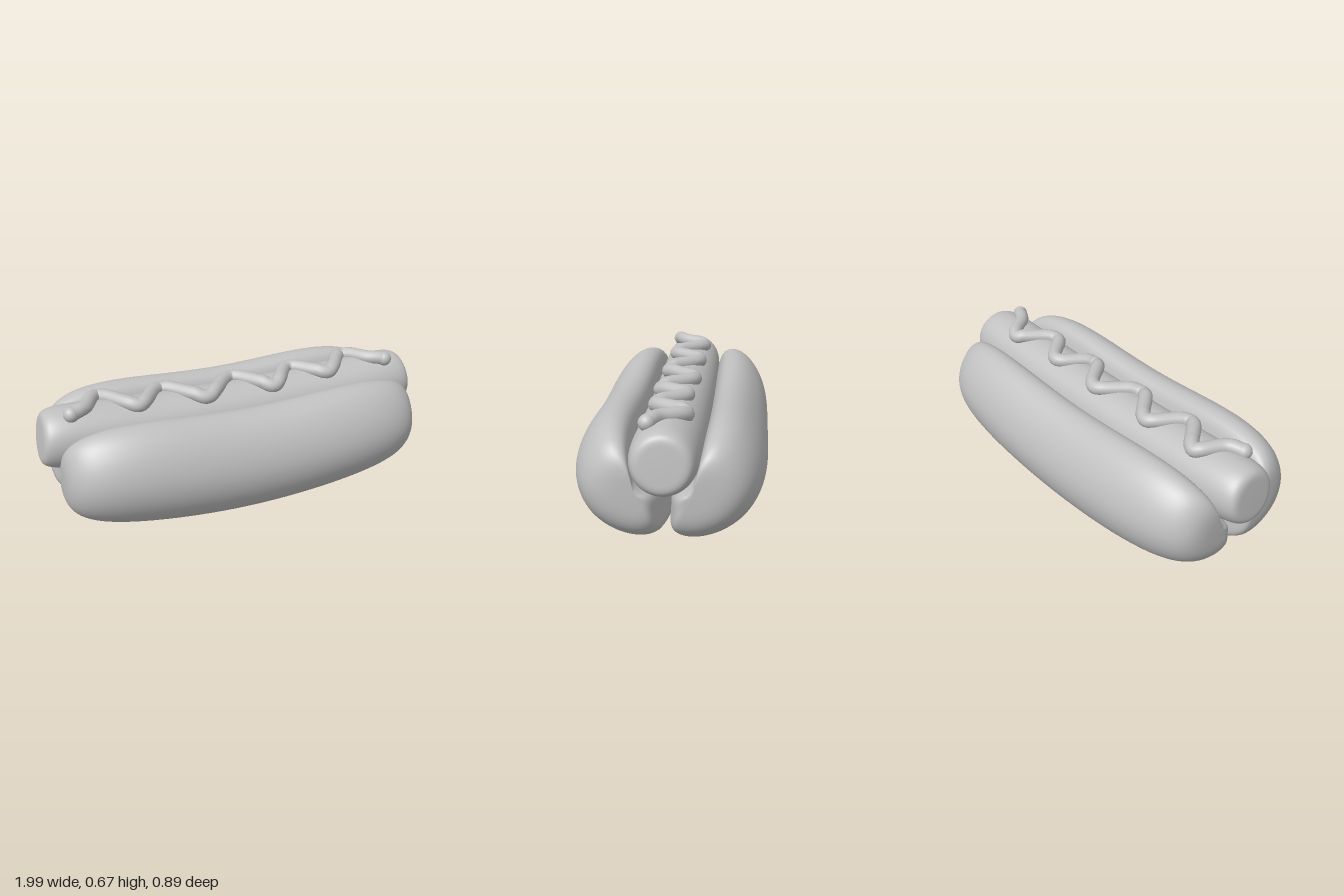
import * as THREE from 'three';

const SAUSAGE_R = 0.158;
const sausageAxis = (x) => 0.455 + 0.042 * x * x;

// Blunt superellipse taper, 1 in the middle and 0 at both ends
const taper = (r, n) => Math.pow(Math.max(0, 1 - Math.pow(Math.abs(r), n)), 1 / n);

// Closed loft along x: point(r, j) gives the vertex of ring r (-1..1) and step j
function loft(rings, steps, point) {
  const pos = [], index = [];
  for (let i = 0; i <= rings; i++) {
    const r = Math.sin((i / rings - 0.5) * Math.PI);
    for (let j = 0; j < steps; j++) pos.push(...point(r, j));
  }
  for (let i = 0; i < rings; i++) {
    for (let j = 0; j < steps; j++) {
      const k = (j + 1) % steps;
      const a = i * steps + j, b = i * steps + k, c = a + steps, d = b + steps;
      index.push(a, c, b, b, c, d);
    }
  }
  const g = new THREE.BufferGeometry();
  g.setAttribute('position', new THREE.Float32BufferAttribute(pos, 3));
  g.setIndex(index);
  g.computeVertexNormals();
  return g;
}

// Cross-section of one bun half as [z, y]
const BUN_PROFILE = [
  [0.005, 0.05], [0.045, 0.015], [0.12, 0.002], [0.21, 0.018], [0.3, 0.06], [0.38, 0.13],
  [0.43, 0.22], [0.446, 0.315], [0.43, 0.405], [0.385, 0.495], [0.32, 0.563], [0.255, 0.586],
  [0.2, 0.565], [0.172, 0.51], [0.156, 0.45], [0.13, 0.375], [0.08, 0.315], [0.015, 0.26], [0.003, 0.16],
];

function bunHalf(side) {
  const curve = new THREE.CatmullRomCurve3(
    BUN_PROFILE.map(([z, y]) => new THREE.Vector3(0, y, z)), true);
  const steps = 72;
  const pts = curve.getSpacedPoints(steps).slice(0, steps);
  if (side < 0) pts.reverse();
  const cz = 0.12, cy = 0.28;
  return loft(90, steps, (r, j) => {
    const s = taper(r, 4);
    const rise = 0.025 * (1 - Math.cos(Math.PI * r));
    return [0.925 * r, cy + (pts[j].y - cy) * s + rise, side * (cz + (pts[j].z - cz) * s)];
  });
}

// Sausage: gently sagging, with blunt ends tilted square to its axis
function sausage() {
  const steps = 56;
  return loft(110, steps, (r, j) => {
    const a = (j / steps) * Math.PI * 2;
    const x = 0.985 * r, rad = SAUSAGE_R * taper(r, 9);
    const dy = -Math.cos(a) * rad;
    return [x - dy * 0.13 * x, sausageAxis(x) + dy, Math.sin(a) * rad];
  });
}

// Sauce line: a wave draped over the top of the sausage
const SAUCE_WAVE = [
  [-0.84, 0.08], [-0.77, 0.045], [-0.68, -0.075], [-0.51, 0.075], [-0.36, -0.07], [-0.165, 0.085],
  [0.02, -0.068], [0.195, 0.088], [0.34, -0.058], [0.505, 0.075], [0.665, -0.08], [0.77, 0.035], [0.84, 0.075],
];

function drape(x, z) {
  const top = Math.min(0.147, Math.sqrt(SAUSAGE_R ** 2 - z * z));
  return new THREE.Vector3(x, sausageAxis(x) + top + 0.012, z);
}

export function createModel() {
  const model = new THREE.Group();
  model.name = 'hotDog';
  const grey = new THREE.MeshStandardMaterial({ color: 0xc0c0c0 });
  grey.name = 'plain grey';
  const add = (name, geometry, parent = model) => {
    const mesh = new THREE.Mesh(geometry, grey);
    mesh.name = name;
    parent.add(mesh);
    return mesh;
  };

  add('frontBunHalf', bunHalf(1));
  add('backBunHalf', bunHalf(-1));
  add('sausage', sausage());

  const sauce = new THREE.Group();
  sauce.name = 'sauce';
  model.add(sauce);
  // Rounded wave laid out flat first, then draped point by point
  const flat = new THREE.CatmullRomCurve3(SAUCE_WAVE.map(([x, z]) => new THREE.Vector3(x, 0, z)));
  const path = new THREE.CatmullRomCurve3(flat.getSpacedPoints(90).map((p) => drape(p.x, p.z)));
  add('sauceLine', new THREE.TubeGeometry(path, 240, 0.036, 16), sauce);
  for (const t of [0, 1]) {
    add('sauceEnd', new THREE.SphereGeometry(0.038, 20, 14), sauce).position.copy(path.getPoint(t));
  }
  return model;
}
